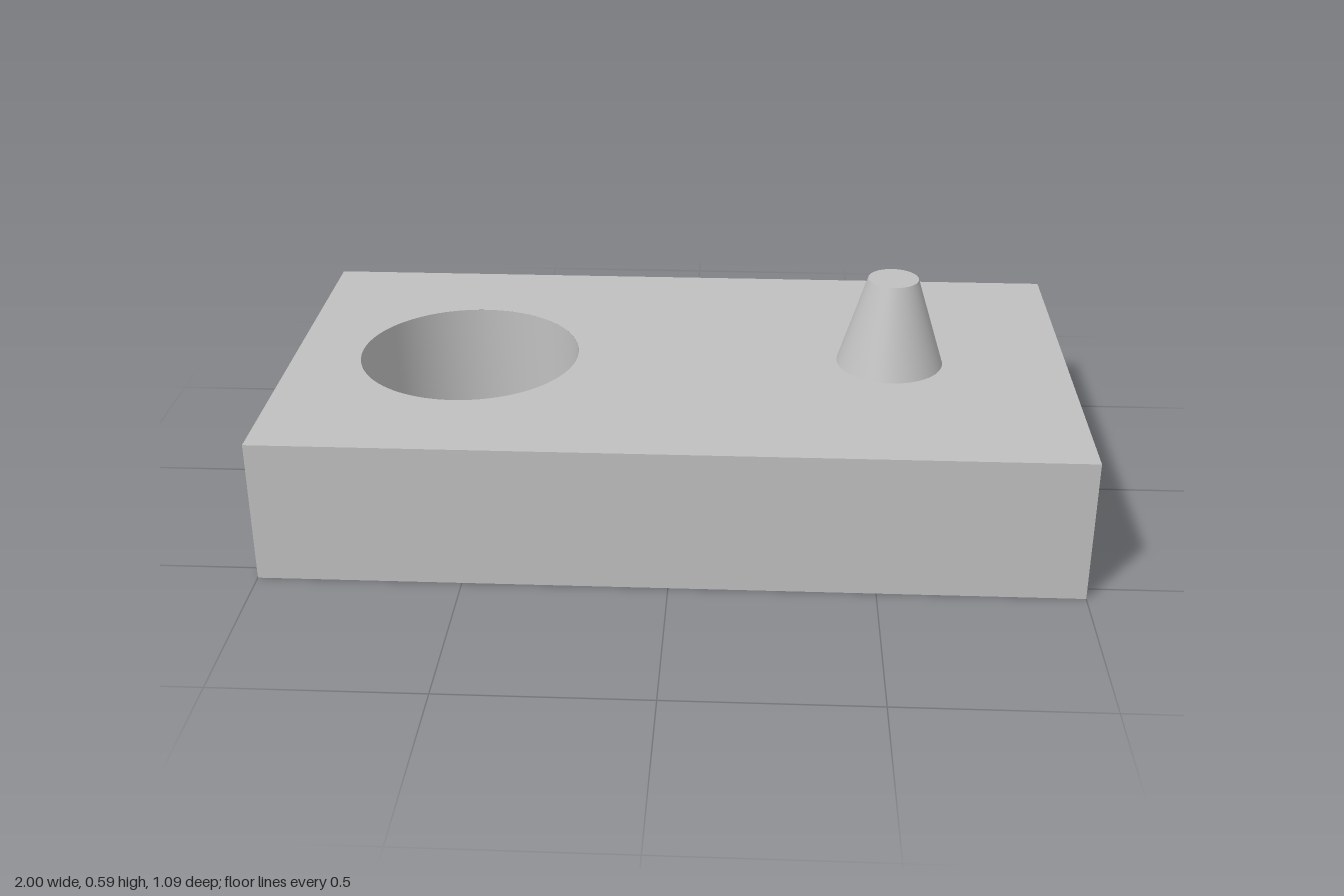
import * as THREE from 'three';
import { toCreasedNormals } from 'three/addons/utils/BufferGeometryUtils.js';

const LENGTH = 2, DEPTH = 1.09, HEIGHT = 0.364;
const OFFSET = 0.545;                 // pocket and peg sit either side of the centre
const POCKET_RADIUS = 0.283, POCKET_FLOOR = 0.064;
const PEG_BASE = 0.136, PEG_TIP = 0.064, PEG_HEIGHT = 0.23;
const SIDES = 64;

export function createModel() {
  const model = new THREE.Group();
  model.name = 'blockWithPocketAndPeg';
  const grey = new THREE.MeshStandardMaterial({ color: 0xc0c0c0 });
  grey.name = 'grey';

  const add = (name, geometry, x = 0, y = 0) => {
    const mesh = new THREE.Mesh(geometry, grey);
    mesh.name = name;
    mesh.position.set(x, y, 0);
    model.add(mesh);
  };

  // Block sides and underside: a box with its top face left out
  const box = new THREE.BoxGeometry(LENGTH, HEIGHT, DEPTH);
  box.setIndex(Array.from(box.index.array).filter((_, i) => i < 12 || i >= 18));
  box.clearGroups();
  add('blockSides', box, 0, HEIGHT / 2);

  // Block top with the round opening
  const w = LENGTH / 2, d = DEPTH / 2;
  const top = new THREE.Shape([
    new THREE.Vector2(-w, -d), new THREE.Vector2(w, -d),
    new THREE.Vector2(w, d), new THREE.Vector2(-w, d),
  ]);
  top.holes.push(new THREE.Path().absarc(-OFFSET, 0, POCKET_RADIUS, 0, Math.PI * 2, true));
  add('blockTop', new THREE.ShapeGeometry(top, SIDES).rotateX(-Math.PI / 2), 0, HEIGHT);

  // Blind pocket, wall and floor facing inward
  const pocket = new THREE.LatheGeometry([
    new THREE.Vector2(POCKET_RADIUS, HEIGHT),
    new THREE.Vector2(POCKET_RADIUS, POCKET_FLOOR),
    new THREE.Vector2(0, POCKET_FLOOR),
  ], SIDES);
  add('pocket', toCreasedNormals(pocket, Math.PI / 6), -OFFSET);

  // Tapered peg
  add('peg', new THREE.CylinderGeometry(PEG_TIP, PEG_BASE, PEG_HEIGHT, SIDES),
    OFFSET, HEIGHT + PEG_HEIGHT / 2);

  return model;
}
